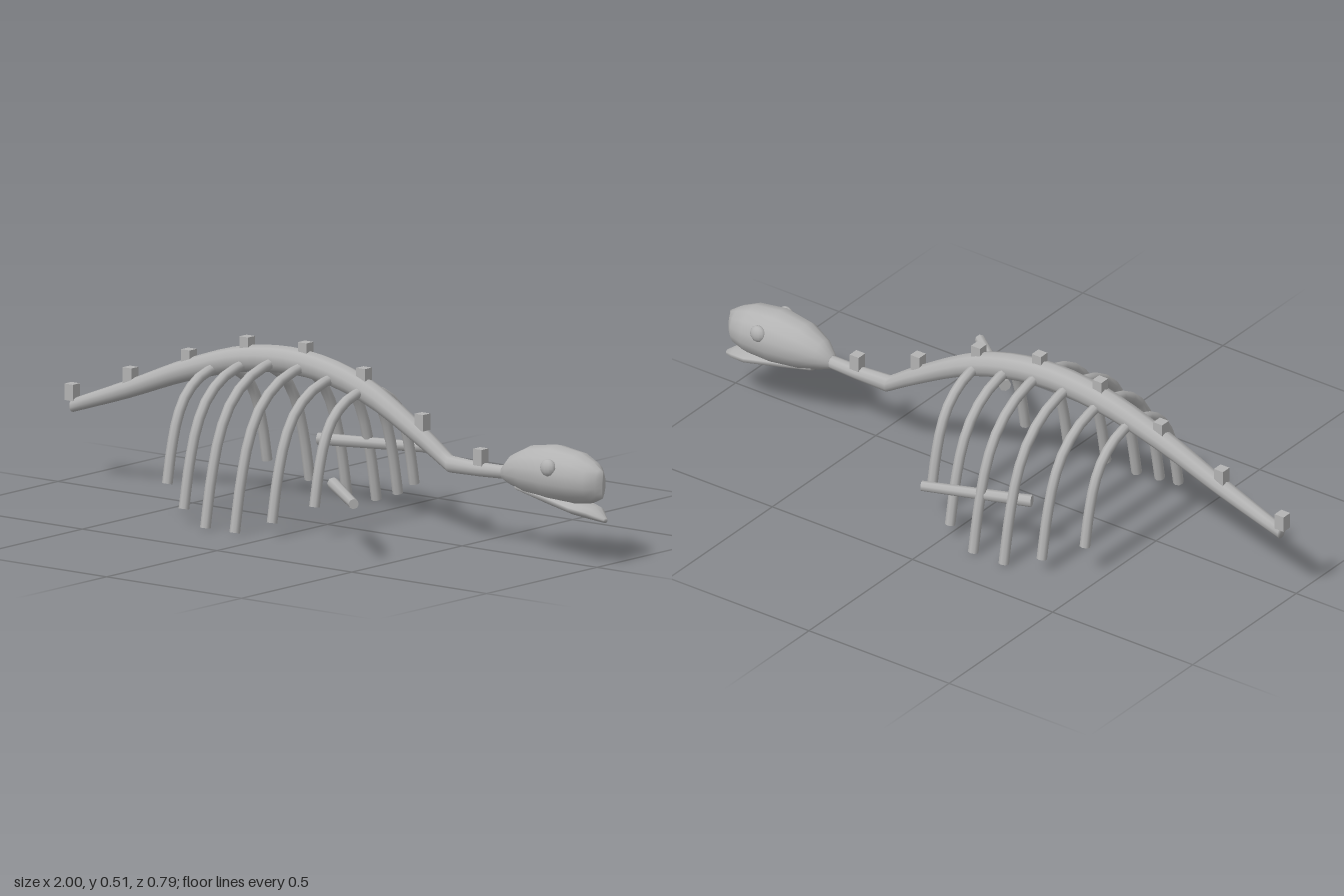
import * as THREE from 'three';

const MID = -0.045; // z of the skeleton's plane of symmetry
const bone = new THREE.MeshStandardMaterial({ color: 0xb3b3b3 });
bone.name = 'bone';

// Closed skin over elliptical sections [x, centre y, half height, half width]
function loft(sections, sides) {
  const pos = [], idx = [];
  sections.forEach(([x, y, h, w]) => {
    for (let j = 0; j < sides; j++) {
      const a = (j / sides) * Math.PI * 2;
      pos.push(x, y + h * Math.cos(a), MID + w * Math.sin(a));
    }
  });
  const n = sections.length, start = n * sides, end = start + 1;
  pos.push(sections[0][0], sections[0][1], MID, sections[n - 1][0], sections[n - 1][1], MID);
  for (let j = 0; j < sides; j++) {
    const k = (j + 1) % sides;
    for (let i = 0; i < n - 1; i++) {
      const a = i * sides + j, b = i * sides + k;
      idx.push(a, b, a + sides, b, b + sides, a + sides);
    }
    idx.push(start, k, j, end, (n - 1) * sides + j, (n - 1) * sides + k);
  }
  const g = new THREE.BufferGeometry();
  g.setAttribute('position', new THREE.Float32BufferAttribute(pos, 3));
  g.setIndex(idx);
  g.computeVertexNormals();
  return g;
}

export function createModel() {
  const model = new THREE.Group();
  const add = (name, geometry, parent = model) => {
    const mesh = new THREE.Mesh(geometry, bone);
    mesh.name = name;
    parent.add(mesh);
    return mesh;
  };

  // Arched spine (x, y, radius), then a straight neck
  const arch = new THREE.CatmullRomCurve3([
    [-0.98, 0.22, 0.019], [-0.77, 0.295, 0.026], [-0.553, 0.378, 0.032], [-0.334, 0.438, 0.037],
    [-0.118, 0.45, 0.038], [0.1, 0.402, 0.036], [0.318, 0.288, 0.029], [0.42, 0.224, 0.024],
  ].map((p) => new THREE.Vector3(...p)));
  const spine = arch.getPoints(28).map((p) => [p.x, p.y, p.z * 1.06, p.z]);
  spine.push([0.53, 0.222, 0.021, 0.021], [0.66, 0.226, 0.019, 0.019]);
  add('spine', loft(spine, 10));

  // Square spines on the vertebrae
  const tops = [0.283, 0.358, 0.438, 0.503, 0.513, 0.465, 0.358, 0.283];
  tops.forEach((top, i) => {
    add('vertebra', new THREE.BoxGeometry(0.032, 0.048, 0.032))
      .position.set(-0.984 + i * 0.2166, top - 0.024, MID);
  });

  // Six pairs of ribs: a shared outline scaled by reach and drop
  const outline = [[0, 0], [0.33, 0.056], [0.607, 0.188], [0.78, 0.374], [0.908, 0.66], [1, 1]];
  const ribs = [ // x, top y, end y, reach
    [-0.446, 0.4, 0.092, 0.226], [-0.336, 0.425, 0.041, 0.285], [-0.227, 0.445, 0.004, 0.321],
    [-0.118, 0.445, 0.004, 0.321], [-0.009, 0.425, 0.041, 0.285], [0.1, 0.4, 0.092, 0.226],
  ];
  for (const [x, top, end, reach] of ribs) {
    for (const side of [1, -1]) {
      const rib = new THREE.Group();
      rib.name = side > 0 ? 'frontRib' : 'backRib';
      model.add(rib);
      const pts = outline.map(([u, v]) =>
        new THREE.Vector3(x, top - v * (top - end), MID + side * u * reach));
      const curve = new THREE.CatmullRomCurve3(pts);
      add('ribShaft', new THREE.TubeGeometry(curve, 10, 0.0155, 8), rib);
      const tip = add('ribTip', new THREE.CircleGeometry(0.0155, 8), rib);
      tip.position.copy(pts[5]);
      tip.lookAt(pts[5].clone().add(curve.getTangent(1)));
    }
  }

  // Two loose limb bones
  const limb = (name, a, b) => {
    const from = new THREE.Vector3(...a), to = new THREE.Vector3(...b);
    const dir = to.clone().sub(from);
    const mesh = add(name, new THREE.CylinderGeometry(0.015, 0.018, dir.length(), 8));
    mesh.position.copy(from).add(to).multiplyScalar(0.5);
    mesh.quaternion.setFromUnitVectors(new THREE.Vector3(0, 1, 0), dir.normalize());
  };
  limb('backLimb', [-0.258, 0.178, -0.272], [0.052, 0.174, -0.385]);
  limb('frontLimb', [0.192, 0.177, 0.208], [0.412, 0.171, 0.384]);

  // Skull, ending in an upright snout edge
  add('skull', loft([
    [0.622, 0.226, 0.022, 0.022], [0.655, 0.238, 0.045, 0.044], [0.72, 0.246, 0.07, 0.068],
    [0.81, 0.247, 0.083, 0.079], [0.9, 0.242, 0.076, 0.071], [0.95, 0.236, 0.06, 0.052],
    [0.975, 0.233, 0.045, 0.025], [0.985, 0.233, 0.039, 0.005],
  ], 14));

  // Drooping lower jaw
  add('jaw', loft([
    [0.68, 0.193, 0.012, 0.03], [0.8, 0.177, 0.02, 0.05], [0.9, 0.158, 0.02, 0.057],
    [0.955, 0.148, 0.018, 0.042], [0.995, 0.13, 0.007, 0.01],
  ], 10));

  // Bulging eyes
  for (const side of [1, -1]) {
    const eye = add('eye', new THREE.SphereGeometry(0.026, 12, 8));
    eye.scale.z = 0.7;
    eye.position.set(0.837, 0.275, MID + side * 0.067);
  }
  return model;
}
